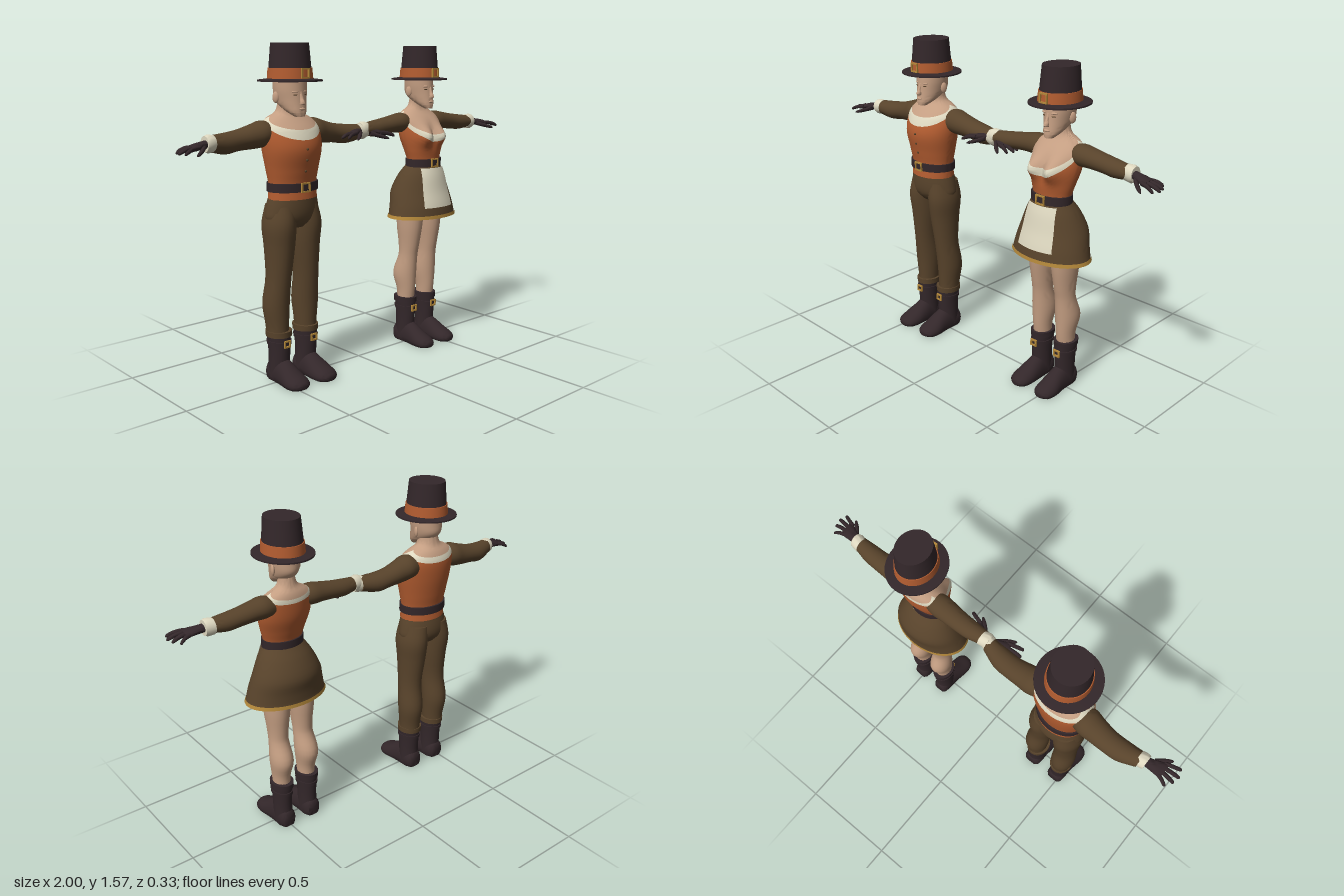
import * as THREE from 'three';
import { toCreasedNormals } from 'three/addons/utils/BufferGeometryUtils.js';

const material = (name, color, side = THREE.FrontSide) => {
  const m = new THREE.MeshStandardMaterial({ color, side });
  m.name = name;
  return m;
};
const dark = material('dark leather', 0x33272a);
const orange = material('rust cloth', 0xb25c30);
const brown = material('brown cloth', 0x58432b);
const skin = material('skin', 0xc49e82);
const cream = material('cream linen', 0xded8c0, THREE.DoubleSide);
const gold = material('brass', 0xb4883a);

// Grid surface: fn(u, v) gives a point; u runs around, v runs along.
function surface(nu, nv, fn) {
  const pos = [], idx = [];
  for (let j = 0; j <= nv; j++) for (let i = 0; i <= nu; i++) pos.push(...fn(i / nu, j / nv));
  for (let j = 0; j < nv; j++) for (let i = 0; i < nu; i++) {
    const a = j * (nu + 1) + i, d = a + nu + 1;
    idx.push(a, a + 1, d + 1, a, d + 1, d);
  }
  const g = new THREE.BufferGeometry();
  g.setAttribute('position', new THREE.Float32BufferAttribute(pos, 3));
  g.setIndex(idx);
  return toCreasedNormals(g, 0.95);
}

// Smooth interpolation of cross-sections [along, c1, c2, r1, r2].
function sample(rings, a) {
  let i = 0;
  while (i < rings.length - 2 && a > rings[i + 1][0]) i++;
  const p = rings[i], q = rings[i + 1], h = q[0] - p[0];
  const f = THREE.MathUtils.clamp((a - p[0]) / h, 0, 1);
  const before = rings[Math.max(i - 1, 0)], after = rings[Math.min(i + 2, rings.length - 1)];
  return p.map((v, k) => {
    const m0 = (q[k] - before[k]) / (q[0] - before[0]) * h, m1 = (after[k] - v) / (after[0] - p[0]) * h;
    const f2 = f * f, f3 = f2 * f;
    return v * (2 * f3 - 3 * f2 + 1) + m0 * (f3 - 2 * f2 + f) + q[k] * (3 * f2 - 2 * f3) + m1 * (f3 - f2);
  });
}

// Body along an axis. Centres and radii are (x, z) for y, (z, y) for x, (y, x) for z.
function loft(axis, rings, { steps = 4, sides = 24, caps = true, floor = -1 } = {}) {
  const rows = [];
  rings.forEach((r, i) => {
    const n = i < rings.length - 1 ? steps : 1;
    for (let k = 0; k < n; k++) rows.push(n === 1 ? r : sample(rings, r[0] + (rings[i + 1][0] - r[0]) * k / n));
  });
  if (caps) {
    rows.unshift([...rows[0].slice(0, 3), 0, 0]);
    rows.push([...rows[rows.length - 1].slice(0, 3), 0, 0]);
  }
  return surface(sides, rows.length - 1, (u, v) => {
    const [a, c1, c2, r1, r2] = rows[Math.round(v * (rows.length - 1))], t = u * Math.PI * 2;
    const p = c1 + r1 * Math.sin(t), q = c2 + r2 * Math.cos(t);
    const out = axis === 'y' ? [p, a, q] : axis === 'x' ? [a, q, p] : [q, p, a];
    out[1] = Math.max(out[1], floor);
    return out;
  });
}

function mirrored(geo) {
  const g = geo.clone().scale(-1, 1, 1);
  for (const key of ['position', 'normal']) {
    const at = g.attributes[key], s = at.itemSize;
    for (let i = 0; i < at.count; i += 3) for (let k = 0; k < s; k++) {
      const a = at.array, x = a[(i + 1) * s + k];
      a[(i + 1) * s + k] = a[(i + 2) * s + k];
      a[(i + 2) * s + k] = x;
    }
  }
  return g;
}

// Rectangular buckle frame
function buckle(w, h, x, y, z) {
  const s = new THREE.Shape([[-1, -1], [1, -1], [1, 1], [-1, 1]].map(([a, b]) => new THREE.Vector2(a * w / 2, b * h / 2)));
  const k = 0.007;
  s.holes.push(new THREE.Path([[-1, -1], [-1, 1], [1, 1], [1, -1]].map(([a, b]) => new THREE.Vector2(a * (w / 2 - k), b * (h / 2 - k)))));
  return new THREE.ExtrudeGeometry(s, { depth: 0.009, bevelEnabled: false }).translate(x, y, z);
}

const man = {
  x: -0.4, hatY: 1.403, hatWidth: 1, wrist: 0.45, handY: 1.145, jaw: 1.08, bust: 0,
  torso: [[0.87, 0, -0.01, 0.123, 0.094], [0.93, 0, -0.01, 0.12, 0.088], [1, 0, -0.01, 0.131, 0.1],
    [1.1, 0, -0.01, 0.149, 0.116], [1.18, 0, -0.025, 0.152, 0.105], [1.215, 0, -0.035, 0.138, 0.085],
    [1.24, 0, -0.04, 0.105, 0.066], [1.255, 0, -0.04, 0.07, 0.054], [1.28, 0, -0.035, 0.054, 0.05], [1.34, 0, -0.025, 0.052, 0.049]],
  neckline: [[1.224, 1.14, 1.185], [1.243, 1.185, 1.213]], // side, front, back
  belt: [0.905, 0.945],
  sleeve: [[0.08, -0.04, 1.165, 0.05, 0.045], [0.145, -0.042, 1.168, 0.066, 0.06], [0.2, -0.045, 1.158, 0.06, 0.055],
    [0.27, -0.048, 1.147, 0.054, 0.047], [0.34, -0.043, 1.138, 0.052, 0.047], [0.425, -0.026, 1.144, 0.038, 0.036]],
  leg: [[0.22, 0.083, -0.033, 0.05, 0.058], [0.27, 0.083, -0.034, 0.053, 0.06], [0.37, 0.085, -0.038, 0.061, 0.07], [0.5, 0.08, -0.022, 0.057, 0.067],
    [0.65, 0.073, -0.02, 0.067, 0.083], [0.75, 0.073, -0.02, 0.072, 0.095], [0.84, 0.06, -0.02, 0.065, 0.085]],
  boot: 0.079, bootWidth: 0.055,
};
const woman = {
  x: 0.436, hatY: 1.392, hatWidth: 0.92, wrist: 0.41, handY: 1.152, jaw: 0.94, bust: 0.052,
  torso: [[0.93, 0, 0.02, 0.1, 0.075], [0.97, 0, 0.02, 0.095, 0.07], [1.03, 0, 0.012, 0.11, 0.08], [1.1, 0, -0.005, 0.127, 0.085],
    [1.17, 0, -0.018, 0.13, 0.08], [1.205, 0, -0.03, 0.118, 0.067], [1.23, 0, -0.038, 0.085, 0.051],
    [1.245, 0, -0.038, 0.055, 0.042], [1.27, 0, -0.035, 0.041, 0.038], [1.34, 0, -0.025, 0.038, 0.037]],
  neckline: [[1.207, 1.073, 1.18], [1.23, 1.11, 1.2]],
  belt: [0.945, 0.985],
  sleeve: [[0.07, -0.03, 1.17, 0.045, 0.04], [0.125, -0.03, 1.172, 0.056, 0.05], [0.18, -0.03, 1.168, 0.053, 0.045],
    [0.25, -0.03, 1.16, 0.048, 0.041], [0.31, -0.027, 1.153, 0.045, 0.04], [0.385, -0.02, 1.153, 0.034, 0.031]],
  leg: [[0.2, 0.072, -0.028, 0.04, 0.046], [0.28, 0.072, -0.026, 0.043, 0.053], [0.37, 0.072, -0.036, 0.054, 0.068], [0.47, 0.07, -0.015, 0.046, 0.054],
    [0.53, 0.069, -0.01, 0.048, 0.06], [0.63, 0.068, -0.008, 0.058, 0.075], [0.75, 0.066, -0.005, 0.064, 0.083]],
  boot: 0.073, bootWidth: 0.049,
};
const skirtRings = [[0.683, 0, 0.013, 0.205, 0.141], [0.7, 0, 0.013, 0.2, 0.139], [0.75, 0, 0.008, 0.188, 0.136],
  [0.82, 0, -0.004, 0.168, 0.131], [0.9, 0, 0.006, 0.132, 0.106], [0.95, 0, 0.018, 0.1, 0.08]];

function figure(p, name) {
  const group = new THREE.Group();
  group.name = name;
  group.position.x = p.x;
  const add = (label, geo, mat) => {
    const m = new THREE.Mesh(geo, mat);
    m.name = label;
    group.add(m);
  };
  const pair = (label, geo, mat) => {
    const g = geo.index ? geo.toNonIndexed() : geo;
    add('left ' + label, g, mat);
    add('right ' + label, mirrored(g), mat);
  };

  // Torso: vest, collar and bare neck share one surface, cut along the necklines
  const onTorso = (t, y) => {
    const [, , cz, rx, rz] = sample(p.torso, y), x = rx * Math.sin(t), c = Math.cos(t);
    const bump = c > 0 ? p.bust * Math.exp(-(((Math.abs(x) - 0.055) / 0.042) ** 2) - ((y - 1.105) / 0.05) ** 2) * Math.min(1, c * 2) : 0;
    return [x, y, cz + rz * c + bump];
  };
  const edge = ([side, front, back]) => (t) => {
    const c = Math.cos(t);
    return side + (c > 0 ? front - side : back - side) * Math.abs(c);
  };
  const levels = [() => p.torso[0][0], edge(p.neckline[0]), edge(p.neckline[1]), () => 1.34];
  [['vest', orange, 24], ['collar', cream, 6], ['neck', skin, 14]].forEach(([label, mat, rows], i) => {
    add(label, surface(48, rows, (u, v) => {
      const t = u * Math.PI * 2;
      return onTorso(t, THREE.MathUtils.lerp(levels[i](t), levels[i + 1](t), v));
    }), mat);
  });
  const [b0, b1] = p.belt, around = sample(p.torso, (b0 + b1) / 2);
  const beltRing = (y) => [y, 0, around[2], around[3] + 0.008, around[4] + 0.011];
  add('belt', loft('y', [beltRing(b0), beltRing(b1)], { steps: 1, sides: 40 }), dark);
  add('belt buckle', buckle(0.05, 0.045, 0, (b0 + b1) / 2, around[2] + around[4] + 0.007), gold);
  for (const y of [1.0, 1.05, 1.1]) if (!p.bust) {
    add('vest button', new THREE.SphereGeometry(0.006, 10, 6).translate(...onTorso(0, y)), brown);
  }

  // Head and face
  const j = p.jaw;
  add('head', loft('y', [[1.243, 0, 0.05, 0.022 * j, 0.022], [1.262, 0, 0.03, 0.04 * j, 0.043], [1.29, 0, 0.0, 0.054 * j, 0.07],
    [1.32, 0, -0.016, 0.062 * j, 0.083], [1.36, 0, -0.019, 0.068 * j, 0.083], [1.42, 0, -0.02, 0.07 * j, 0.08]], { sides: 32 }), skin);
  add('nose', loft('y', [[1.295, 0, 0.068, 0.011, 0.014], [1.302, 0, 0.07, 0.012, 0.018], [1.325, 0, 0.063, 0.008, 0.013], [1.355, 0, 0.056, 0.007, 0.009]], { sides: 12 }), skin);
  add('lips', new THREE.SphereGeometry(1, 12, 8).scale(0.017, 0.006, 0.008).translate(0, 1.277, 0.07), skin);
  pair('ear', new THREE.SphereGeometry(1, 12, 8).scale(0.009, 0.026, 0.017).rotateY(-0.35).translate(0.068 * j, 1.328, -0.028), skin);
  pair('brow', new THREE.SphereGeometry(1, 12, 6).scale(0.017, 0.005, 0.008).rotateY(0.4).translate(0.027, 1.354, 0.054), skin);
  pair('eye', new THREE.SphereGeometry(1, 10, 6).scale(0.01, 0.003, 0.004).rotateY(0.4).translate(0.027, 1.34, 0.057), brown);

  // Hat
  const w = p.hatWidth, hat = (y, rx, rz) => [p.hatY + y, 0, -0.016, rx * w, rz];
  const flat = { steps: 1, sides: 40 };
  add('hat brim', loft('y', [hat(-0.005, 0.147, 0.15), hat(0.002, 0.147, 0.15), hat(0.008, 0.1, 0.107)], flat), dark);
  add('hat crown', loft('y', [hat(0, 0.099, 0.106), hat(0.165, 0.085, 0.09)], flat), dark);
  add('hat band', loft('y', [hat(0.004, 0.102, 0.11), hat(0.055, 0.098, 0.105)], flat), orange);
  add('hat buckle', buckle(0.045, 0.046, 0, p.hatY + 0.032, 0.092), gold);

  // Arms: sleeve, cuff and gloved hand
  pair('sleeve', loft('x', p.sleeve), brown);
  const k = p.wrist, y = p.handY;
  pair('cuff', loft('x', [[k - 0.04, -0.024, y, 0.036, 0.037], [k - 0.012, -0.02, y, 0.037, 0.04], [k + 0.002, -0.02, y, 0.033, 0.035]], { steps: 1 }), cream);
  pair('palm', loft('x', [[k - 0.01, -0.018, y, 0.02, 0.019], [k + 0.03, -0.01, y - 0.004, 0.028, 0.017],
    [k + 0.065, -0.002, y - 0.008, 0.036, 0.015], [k + 0.085, 0.002, y - 0.01, 0.033, 0.01]]), dark);
  [0.123, 0.144, 0.152, 0.14].forEach((reach, i) => {
    const z = -0.027 + i * 0.019, spread = (i - 1.3) * 0.007;
    pair('finger', loft('x', [[k + 0.065, z, y - 0.009, 0.01, 0.01], [k + (0.065 + reach) / 2, z + spread, y - 0.012, 0.0095, 0.0095],
      [k + reach - 0.006, z + spread * 2, y - 0.024, 0.008, 0.008], [k + reach, z + spread * 2, y - 0.027, 0.003, 0.003]], { steps: 2, sides: 10 }), dark);
  });
  pair('thumb', loft('x', [[k + 0.02, 0.006, y - 0.01, 0.015, 0.012], [k + 0.05, 0.036, y - 0.022, 0.014, 0.01],
    [k + 0.08, 0.06, y - 0.032, 0.01, 0.008], [k + 0.09, 0.067, y - 0.035, 0.004, 0.004]], { steps: 2, sides: 10 }), dark);

  // Legs and boots
  pair('leg', loft('y', p.leg), p.bust ? skin : brown);
  const c = p.boot, r = p.bootWidth;
  pair('boot shaft', loft('y', [[0.02, c, -0.03, r * 0.9, 0.055], [0.1, c, -0.027, r * 0.88, 0.055], [0.16, c, -0.027, r * 0.9, 0.058], [0.235, c, -0.029, r, 0.061]]), dark);
  pair('boot cuff', loft('y', [[0.217, c, -0.029, r + 0.004, 0.066], [0.244, c, -0.029, r + 0.005, 0.067]], { steps: 1 }), p.bust ? dark : brown);
  pair('boot strap', loft('y', [[0.178, c, -0.027, r * 0.93 + 0.004, 0.064], [0.196, c, -0.027, r * 0.95 + 0.004, 0.065]], { steps: 1 }), dark);
  pair('boot buckle', buckle(0.036, 0.034, c, 0.187, 0.034), gold);
  pair('boot foot', loft('z', [[-0.086, 0.035, c, 0.045, r * 0.65], [-0.07, 0.035, c, 0.06, r * 0.85], [0, 0.03, c, 0.085, r * 0.9], [0.04, 0.025, c, 0.075, r * 0.97],
    [0.1, 0.018, c + 0.003, 0.048, r * 1.08], [0.145, 0.016, c + 0.003, 0.03, r * 0.9], [0.165, 0.016, c + 0.002, 0.014, r * 0.45]], { floor: 0 }), dark);
  return group;
}

export function createModel() {
  const model = new THREE.Group();
  model.name = 'couple in tall hats';
  const him = figure(man, 'man'), her = figure(woman, 'woman');
  const put = (parent, name, geo, mat) => {
    const m = new THREE.Mesh(geo, mat);
    m.name = name;
    parent.add(m);
  };

  // Seat of the trousers
  put(him, 'trouser hips', loft('y', [[0.735, 0, -0.018, 0.08, 0.06], [0.77, 0, -0.018, 0.136, 0.088], [0.82, 0, -0.016, 0.136, 0.096], [0.89, 0, -0.01, 0.118, 0.088]]), brown);

  // Skirt with hem, lining and apron
  const open = { caps: false, sides: 48 };
  const grow = (d) => ([y, cx, cz, rx, rz]) => [y, cx, cz, rx + d, rz + d];
  put(her, 'skirt', loft('y', skirtRings, open), brown);
  put(her, 'skirt lining', loft('y', skirtRings.map(grow(-0.006)), open), cream);
  put(her, 'skirt hem', loft('y', skirtRings.slice(0, 2).map(grow(0.003)), { ...open, steps: 1 }), gold);
  put(her, 'apron', surface(12, 14, (u, v) => {
    const y = THREE.MathUtils.lerp(0.74, 0.94, v), x = (u * 2 - 1) * THREE.MathUtils.lerp(0.1, 0.08, v);
    const [, , cz, rx, rz] = grow(0.006)(sample(skirtRings, y));
    return [x, y, cz + rz * Math.sqrt(1 - (x / rx) ** 2)];
  }), cream);

  model.add(him, her);
  return model;
}
